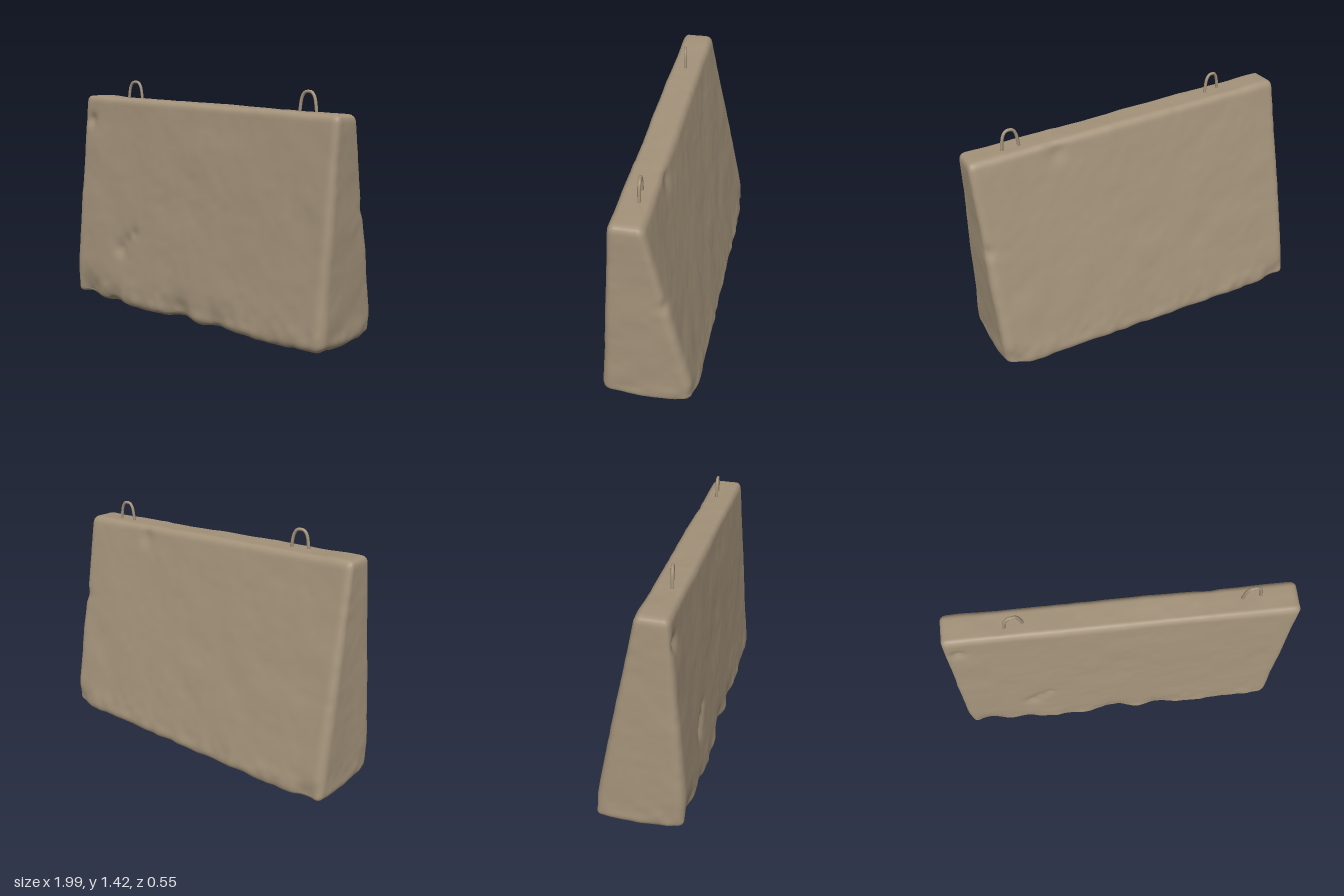
import * as THREE from 'three';
import { mergeVertices } from 'three/addons/utils/BufferGeometryUtils.js';

const { lerp, clamp, smoothstep } = THREE.MathUtils;

// Smooth seeded 3D value noise in -1..1
function hash(x, y, z) {
  let h = (x * 374761393 + y * 668265263 + z * 1274126177) | 0;
  h = Math.imul(h ^ (h >>> 13), 1274126177);
  return ((h ^ (h >>> 16)) >>> 0) / 2147483648 - 1;
}
function noise(x, y, z) {
  const i = Math.floor(x), j = Math.floor(y), k = Math.floor(z);
  const s = (t) => t * t * (3 - 2 * t);
  const a = s(x - i), b = s(y - j), c = s(z - k);
  const row = (q, r) => lerp(hash(i, q, r), hash(i + 1, q, r), a);
  const layer = (r) => lerp(row(j, r), row(j + 1, r), b);
  return lerp(layer(k), layer(k + 1), c);
}

// Slanted top edge height at x
const topAt = (x) => 1.287 - 0.04 * x;

// Dents: x, y, z, radius, depth
const DENTS = [
  [-0.88, 1.17, 0.18, 0.05, 0.02],
  [-0.55, 0.37, 0.25, 0.06, 0.02],
  [-0.5, 0.43, 0.25, 0.05, 0.016],
  [-0.44, 0.48, 0.24, 0.04, 0.012],
  [-0.85, 0.03, 0.26, 0.16, 0.04],
  [-0.62, 0.02, 0.26, 0.1, 0.03],
  [-0.05, 0.03, 0.27, 0.14, 0.035],
  [0.25, 0.02, 0.27, 0.12, 0.025],
  [0.5, 1.2, -0.02, 0.06, 0.012],
  [0.93, 0.05, -0.25, 0.09, 0.03],
  [-0.9, 0.04, -0.25, 0.09, 0.03],
  [0.98, 0.75, -0.12, 0.05, 0.015],
];

// Tapered, weathered block with soft edges
function blockGeometry() {
  let geo = new THREE.BoxGeometry(2, 2, 2, 110, 80, 34);
  geo.deleteAttribute('uv');
  geo.deleteAttribute('normal');
  geo = mergeVertices(geo, 1e-4);
  const pos = geo.attributes.position;
  const p = new THREE.Vector3(), inner = new THREE.Vector3(), d = new THREE.Vector3();

  for (let i = 0; i < pos.count; i++) {
    p.fromBufferAttribute(pos, i);
    const v = (p.y + 1) / 2;
    const half = lerp(0.276, 0.088, v);
    const r = lerp(0.06, 0.032, v);
    // round the edges
    p.set(p.x * 0.98, p.y * 0.645, p.z * half);
    inner.set(
      clamp(p.x, r - 0.98, 0.98 - r),
      clamp(p.y, r - 0.645, 0.645 - r),
      clamp(p.z, r - half, half - r));
    d.subVectors(p, inner).normalize();
    p.copy(inner).addScaledVector(d, r);
    // lean the faces and slope the top
    const t = (p.y + 0.645) / 1.29;
    p.z += lerp(-0.004, 0.079, t);
    p.x += p.x < 0 ? lerp(-0.012, 0.036, t) : lerp(-0.003, 0.012, t);
    p.y = lerp(0.008, topAt(p.x), t);
    // surface wear, rougher towards the ground
    const rough = 1 - smoothstep(p.y, 0, 0.22);
    let push = 0.004 * noise(p.x * 6, p.y * 6, p.z * 6)
      + (0.0012 + 0.004 * rough) * noise(p.x * 19 + 7, p.y * 19, p.z * 19)
      + 0.008 * rough * noise(p.x * 9 + 3, p.y * 9, p.z * 9);
    for (const [x, y, z, size, depth] of DENTS) {
      const q = Math.hypot(p.x - x, p.y - y, p.z - z) / size;
      push -= depth * Math.exp(-q * q * 1.6);
    }
    p.addScaledVector(d, push);
    p.y = Math.max(p.y, 0);
    pos.setXYZ(i, p.x, p.y, p.z);
  }
  geo.computeVertexNormals();
  return geo;
}

// Bent-bar lifting loop, sunk into the top of the block
function liftingLoop(x, top, z, turn, material) {
  const points = [
    [-0.053, -0.15], [-0.048, -0.09], [-0.037, -0.035], [-0.02, -0.012], [0, -0.008],
    [0.02, -0.012], [0.037, -0.035], [0.048, -0.09], [0.053, -0.15],
  ].map(([a, b]) => new THREE.Vector3(a, b, 0));
  const curve = new THREE.CatmullRomCurve3(points);
  const mesh = new THREE.Mesh(new THREE.TubeGeometry(curve, 40, 0.009, 10), material);
  mesh.position.set(x, top, z);
  mesh.rotation.y = turn;
  return mesh;
}

export function createModel() {
  const group = new THREE.Group();
  group.name = 'concreteBarrier';
  const concrete = new THREE.MeshStandardMaterial({ color: 0xa3927a });
  concrete.name = 'weathered concrete';

  const block = new THREE.Mesh(blockGeometry(), concrete);
  block.name = 'concreteBlock';
  group.add(block);

  const rightLoop = liftingLoop(-0.558, 1.418, 0.09, 0.19, concrete);
  rightLoop.name = 'rightLiftingLoop';
  const leftLoop = liftingLoop(0.734, 1.372, 0.06, 0.09, concrete);
  leftLoop.name = 'leftLiftingLoop';
  group.add(rightLoop, leftLoop);
  return group;
}
